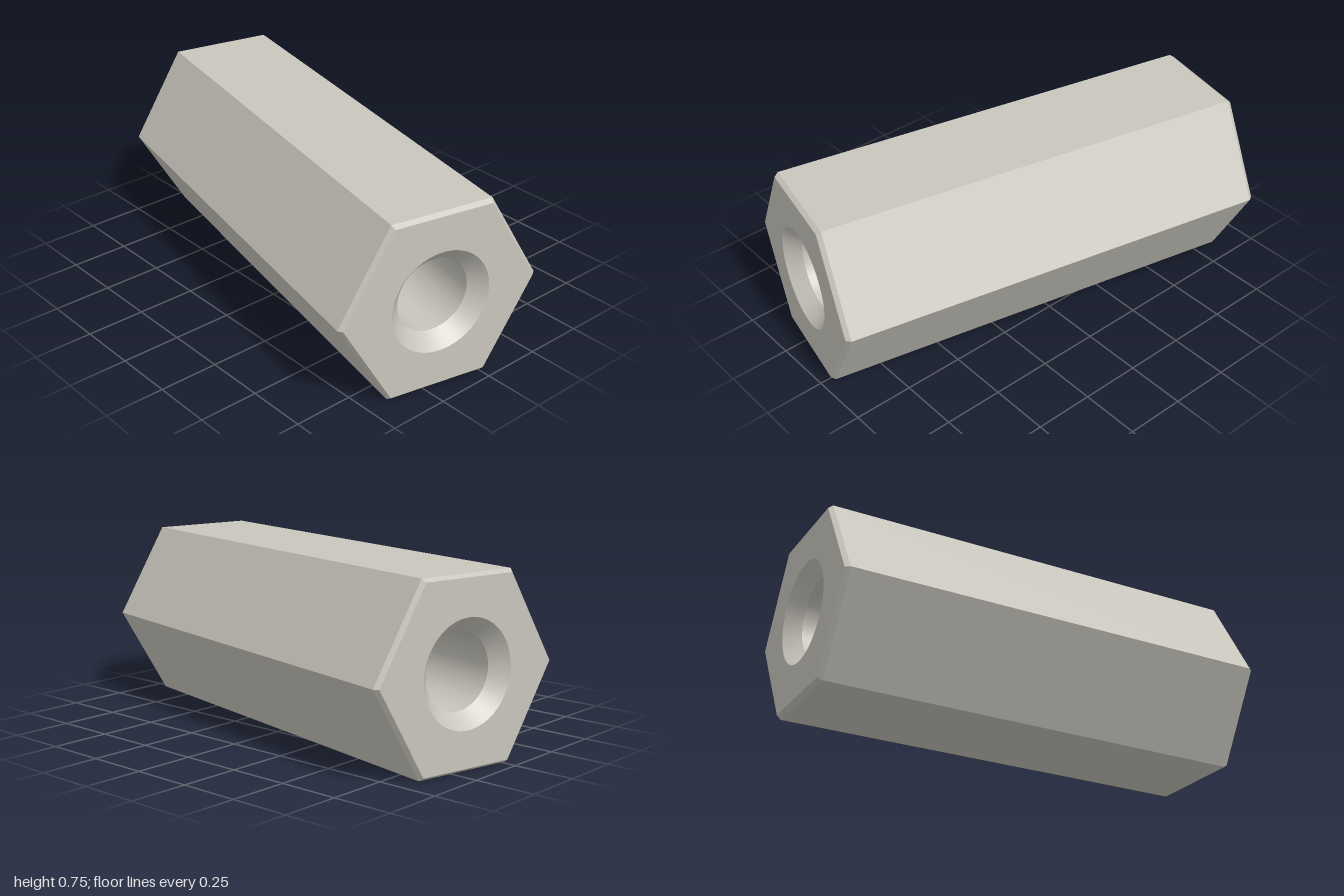
import * as THREE from 'three';

const HALF = 0.934;      // half length along the axis
const R = 0.431;         // hexagon corner radius
const CHAMFER = 0.018;   // axial depth of the edge chamfer
const R_FACE = R - 0.015;
const BORE = 0.153;
const SINK = 0.213;      // countersink mouth radius
const SINK_DEPTH = 0.06;

export function createModel() {
  const metal = new THREE.MeshStandardMaterial({ color: 0xc8c5bc });
  const model = new THREE.Group();
  model.name = 'hexStandoff';

  const add = (name, geometry) => {
    const mesh = new THREE.Mesh(geometry, metal);
    mesh.name = name;
    model.add(mesh);
  };

  // Open six-sided sleeve along x with crisp facets
  const hexSleeve = (rEnd, rStart, length, x) => {
    const g = new THREE.CylinderGeometry(rEnd, rStart, length, 6, 1, true).toNonIndexed();
    g.computeVertexNormals();
    return g.rotateZ(-Math.PI / 2).translate(x, 0, 0);
  };

  // Smooth inward-facing wall along x; points run from +x to -x
  const innerWall = (r1, x1, r2, x2) =>
    new THREE.LatheGeometry([new THREE.Vector2(r1, x1), new THREE.Vector2(r2, x2)], 64)
      .rotateZ(-Math.PI / 2);

  const body = HALF - CHAMFER;
  const sinkEnd = HALF - SINK_DEPTH;
  add('hexBody', hexSleeve(R, R, 2 * body, 0));
  add('bore', innerWall(BORE, sinkEnd, BORE, -sinkEnd));

  // Hexagonal end face with a round opening
  const face = new THREE.Shape();
  for (let i = 0; i < 6; i++) {
    const a = i * Math.PI / 3;
    const x = R_FACE * Math.cos(a), y = R_FACE * Math.sin(a);
    if (i) face.lineTo(x, y); else face.moveTo(x, y);
  }
  face.closePath();
  face.holes.push(new THREE.Path().absarc(0, 0, SINK, 0, Math.PI * 2, true));

  // Matching chamfer, face and countersink at both ends
  for (const s of [1, -1]) {
    const side = s > 0 ? 'left' : 'right';
    add(side + 'Chamfer', hexSleeve(s > 0 ? R_FACE : R, s > 0 ? R : R_FACE, CHAMFER, s * (HALF - CHAMFER / 2)));
    add(side + 'EndFace', new THREE.ShapeGeometry(face, 32).rotateY(s * Math.PI / 2).translate(s * HALF, 0, 0));
    add(side + 'Countersink', s > 0
      ? innerWall(SINK, HALF, BORE, sinkEnd)
      : innerWall(BORE, -sinkEnd, SINK, -HALF));
  }

  // Lies on a flat, turned slightly about the vertical
  model.rotation.y = -12 * Math.PI / 180;
  model.position.y = R * Math.cos(Math.PI / 6);
  return model;
}
